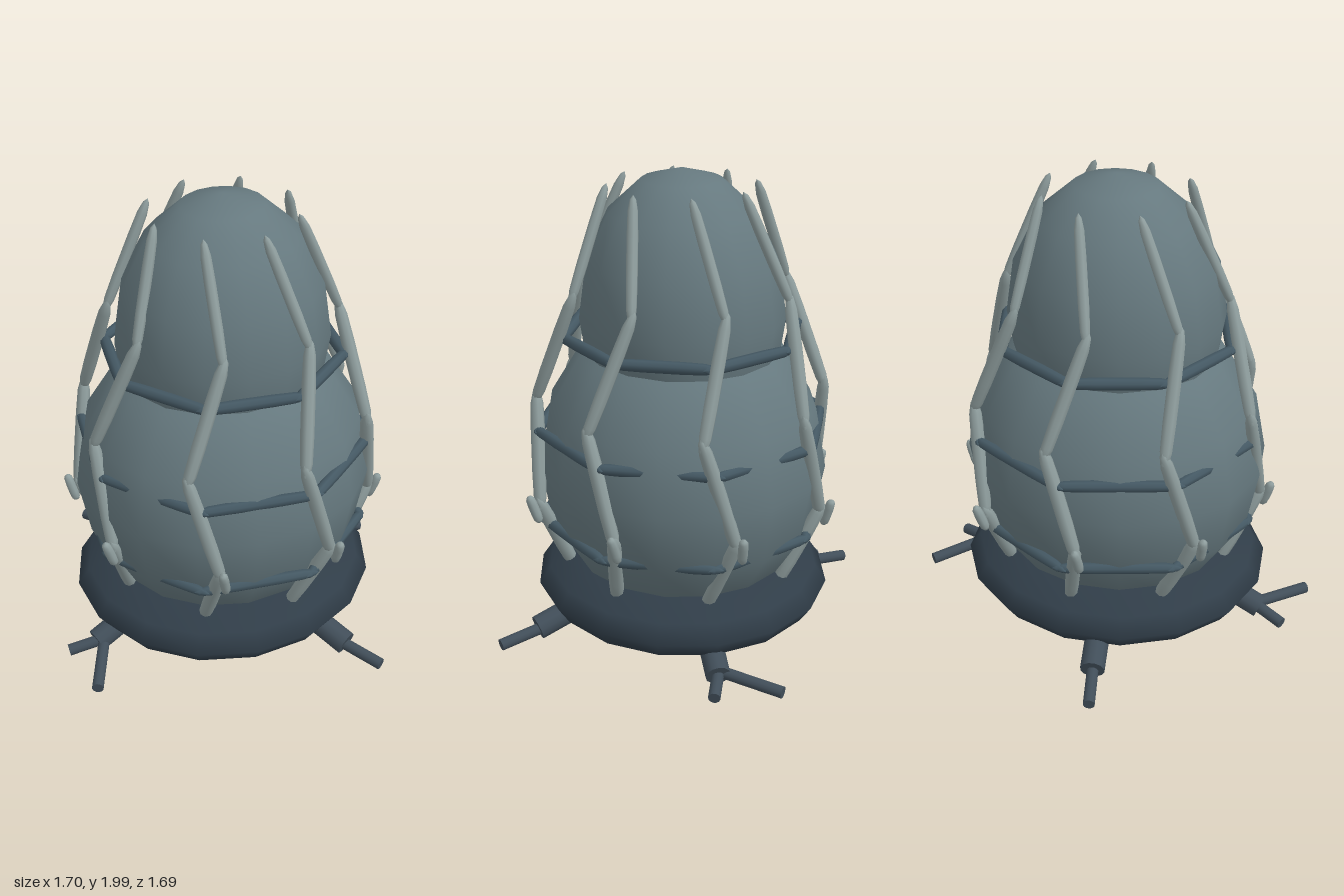
import * as THREE from 'three';

const mat = (color) => new THREE.MeshStandardMaterial({ color });
const shellMat = mat(0x66797f), baseMat = mat(0x303d48);
const vineMat = mat(0x8f9e9e), bandMat = mat(0x445863), footMat = mat(0x414e59);

// Point on a circle of radius r at height y; angle in degrees from the front towards +x
function polar(r, deg, y) {
  const a = THREE.MathUtils.degToRad(deg);
  return new THREE.Vector3(r * Math.sin(a), y, r * Math.cos(a));
}

// Stands a y-axis geometry between two points
function between(geometry, a, b, material, name) {
  const m = new THREE.Mesh(geometry, material);
  m.name = name;
  m.position.copy(a).add(b).multiplyScalar(0.5);
  m.quaternion.setFromUnitVectors(new THREE.Vector3(0, 1, 0), b.clone().sub(a).normalize());
  return m;
}

// Rod with tapered, rounded ends that run a little past both points
function spindle(a, b, r, over, material, name) {
  const h = a.distanceTo(b) / 2 + over;
  const profile = [[0, -1], [0.55, -0.93], [0.9, -0.75], [1, -0.35], [1, 0.35], [0.9, 0.75], [0.55, 0.93], [0, 1]];
  const geometry = new THREE.LatheGeometry(profile.map(([x, y]) => new THREE.Vector2(x * r, y * h)), 8);
  return between(geometry, a, b, material, name);
}

function rod(a, b, r, name) {
  return between(new THREE.CylinderGeometry(r, r, a.distanceTo(b), 12), a, b, footMat, name);
}

function ellipsoid(rx, ry, rz, y, material, name) {
  const m = new THREE.Mesh(new THREE.SphereGeometry(1, 16, 8).scale(rx, ry, rz), material);
  m.position.y = y;
  m.name = name;
  return m;
}

export function createModel() {
  const model = new THREE.Group();
  model.name = 'ribbedPod';

  // Stacked rounded bodies
  model.add(
    ellipsoid(0.67, 0.19, 0.635, 0.2, baseMat, 'base'),
    ellipsoid(0.645, 0.68, 0.612, 0.75, shellMat, 'lowerBody'),
    ellipsoid(0.455, 0.6, 0.43, 1.4, shellMat, 'upperDome'),
  );

  // Eight zigzag ribs climbing the bodies: [radius, angle offset, height]
  const nodes = [[0.49, -1, 0.29], [0.632, 7, 0.62], [0.612, -5, 1.05], [0.472, 8, 1.5], [0.31, -5, 1.92]];
  const thickness = [0.031, 0.03, 0.028, 0.023];
  for (let i = 0; i < 8; i++) {
    const rib = new THREE.Group();
    rib.name = 'rib';
    const pts = nodes.map(([r, off, y]) => polar(r, i * 45 + off, y));
    thickness.forEach((t, k) => {
      rib.add(spindle(pts[k], pts[k + 1], t, k === 3 ? 0.025 : 0.04, vineMat, 'ribSegment'));
    });
    // Small bud on the lowest joint
    rib.add(spindle(polar(0.645, i * 45 + 9, 0.55), polar(0.68, i * 45 + 8, 0.66), 0.021, 0.008, vineMat, 'ribBud'));
    model.add(rib);
  }

  // Eight-sided bands tying the ribs together: [radius, height]
  for (const [r, y] of [[0.605, 0.51], [0.617, 0.92], [0.498, 1.32]]) {
    const band = new THREE.Group();
    band.name = 'band';
    for (let i = 0; i < 8; i++) {
      band.add(spindle(polar(r, i * 45, y), polar(r, i * 45 + 45, y), 0.025, 0.035, bandMat, 'bandSegment'));
    }
    model.add(band);
  }

  // Four feet, in opposite pairs: sleeve with thin prongs
  const v = (x, y, z) => new THREE.Vector3(x, y, z);
  for (const turn of [0, Math.PI]) {
    const feet = new THREE.Group();
    feet.name = 'feet';
    feet.rotation.y = turn;
    feet.add(
      rod(v(0.12, 0.13, 0.5), v(0.165, 0.075, 0.67), 0.052, 'frontSleeve'),
      rod(v(0.15, 0.075, 0.62), v(0.22, 0.045, 0.835), 0.025, 'frontProng'),
      rod(v(0.53, 0.13, 0), v(0.685, 0.07, 0.005), 0.052, 'sideSleeve'),
      rod(v(0.64, 0.072, 0.01), v(0.83, 0.05, -0.225), 0.025, 'sideProng'),
      rod(v(0.64, 0.075, -0.01), v(0.8, 0.045, 0.05), 0.025, 'sideProng'),
    );
    model.add(feet);
  }
  return model;
}
